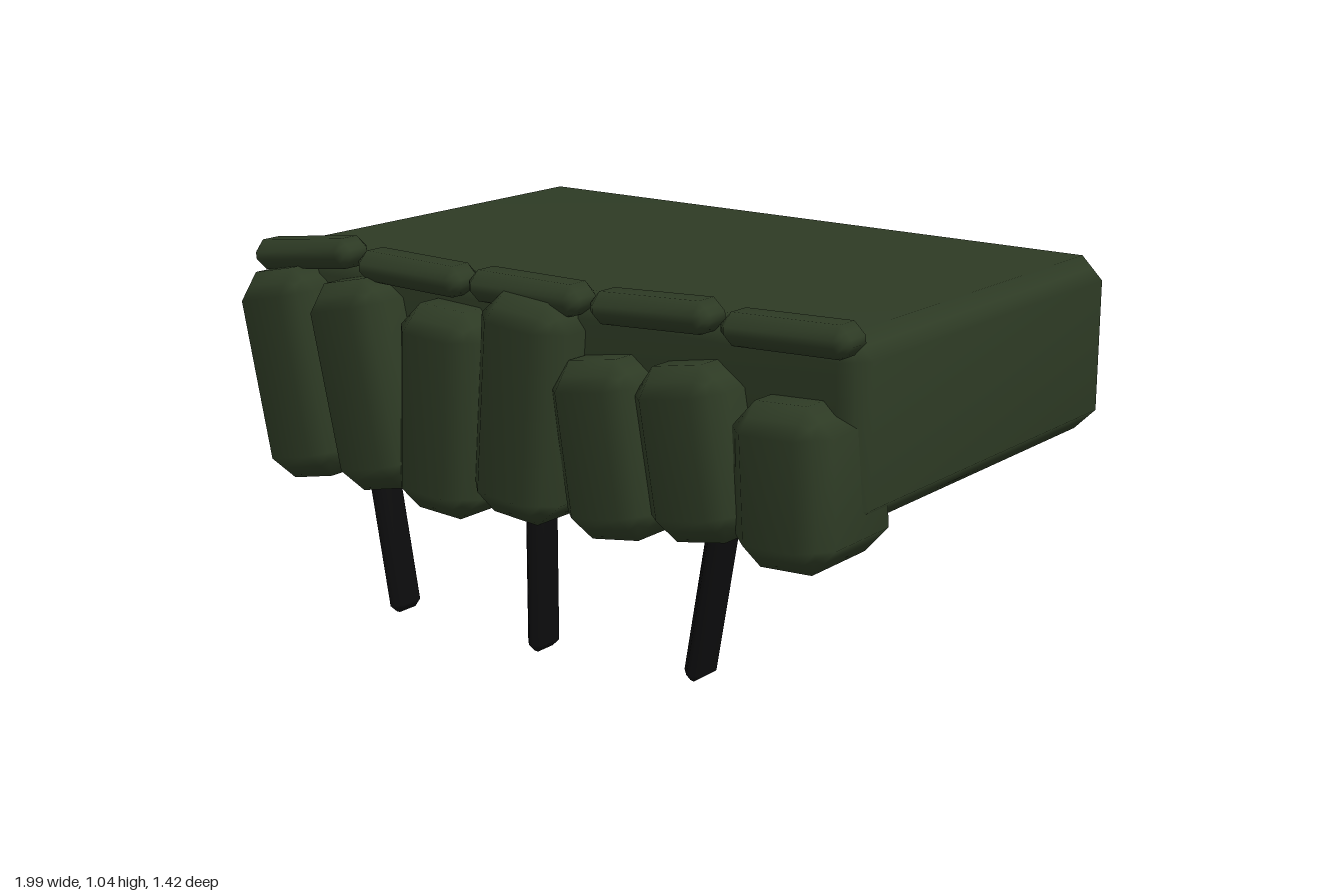
import * as THREE from 'three';
import { mergeVertices } from 'three/addons/utils/BufferGeometryUtils.js';

// Box with chamfered edges and corners, softly shaded across the chamfers
function chamferBox(w, h, d, c) {
  const geo = new THREE.BoxGeometry(3, 3, 3, 3, 3, 3);
  geo.deleteAttribute('normal');
  geo.deleteAttribute('uv');
  const pos = geo.attributes.position;
  const half = [w / 2, h / 2, d / 2];
  for (let i = 0; i < pos.count; i++) {
    const p = [pos.getX(i), pos.getY(i), pos.getZ(i)];
    const outer = p.filter((v) => Math.abs(v) > 1).length;
    const cut = (c * (outer - 1)) / outer;
    const q = p.map((v, a) => Math.sign(v) * (half[a] - (Math.abs(v) > 1 ? cut : c)));
    pos.setXYZ(i, q[0], q[1], q[2]);
  }
  const merged = mergeVertices(geo);
  merged.computeVertexNormals();
  return merged;
}

export function createModel() {
  const group = new THREE.Group();
  const green = new THREE.MeshStandardMaterial({ color: 0x2d3a24 });
  green.name = 'dark olive green';
  const black = new THREE.MeshStandardMaterial({ color: 0x0c0c0d });
  black.name = 'near black';

  const add = (name, geo, mat, x, y, z, tiltDegrees = 0) => {
    const mesh = new THREE.Mesh(geo, mat);
    mesh.name = name;
    mesh.position.set(x, y, z);
    mesh.rotation.z = THREE.MathUtils.degToRad(tiltDegrees);
    group.add(mesh);
  };

  // Main block
  add('mainBlock', chamferBox(1.97, 0.487, 1.278, 0.062), green, 0.005, 0.747, -0.067);

  // Row of hanging pouches: x, y, height, tilt
  [
    [-0.813, 0.65, 0.585, 12],
    [-0.545, 0.658, 0.575, 12.5],
    [-0.262, 0.632, 0.565, -2.5],
    [0.016, 0.684, 0.595, -4.5],
    [0.287, 0.622, 0.46, 9],
    [0.552, 0.658, 0.44, 10],
    [0.83, 0.625, 0.41, 3],
  ].forEach(([x, y, h, tilt], i) => {
    add(`pouch${i + 1}`, chamferBox(0.288, h, 0.37, 0.07), green, x, y, 0.525, tilt);
  });

  // Small rolls along the front top edge: x, y, tilt
  [
    [-0.79, 0.985, 7],
    [-0.393, 0.98, -1],
    [0.004, 0.98, 0],
    [0.406, 0.984, 3],
    [0.806, 0.984, 2],
  ].forEach(([x, y, tilt], i) => {
    add(`topRoll${i + 1}`, chamferBox(0.37, 0.083, 0.125, 0.032), green, x, y, 0.577, tilt);
  });

  // Thin flat legs, placed from their lower ends: x, y, tilt
  const legLength = 0.48;
  [
    [-0.497, 0.003, 10],
    [0.005, 0.004, 0],
    [0.52, 0.045, -10],
  ].forEach(([x, y, tilt], i) => {
    const a = THREE.MathUtils.degToRad(tilt);
    add(`leg${i + 1}`, chamferBox(0.056, legLength, 0.105, 0.022), black,
      x - Math.sin(a) * legLength / 2, y + Math.cos(a) * legLength / 2, 0.55, tilt);
  });

  return group;
}
